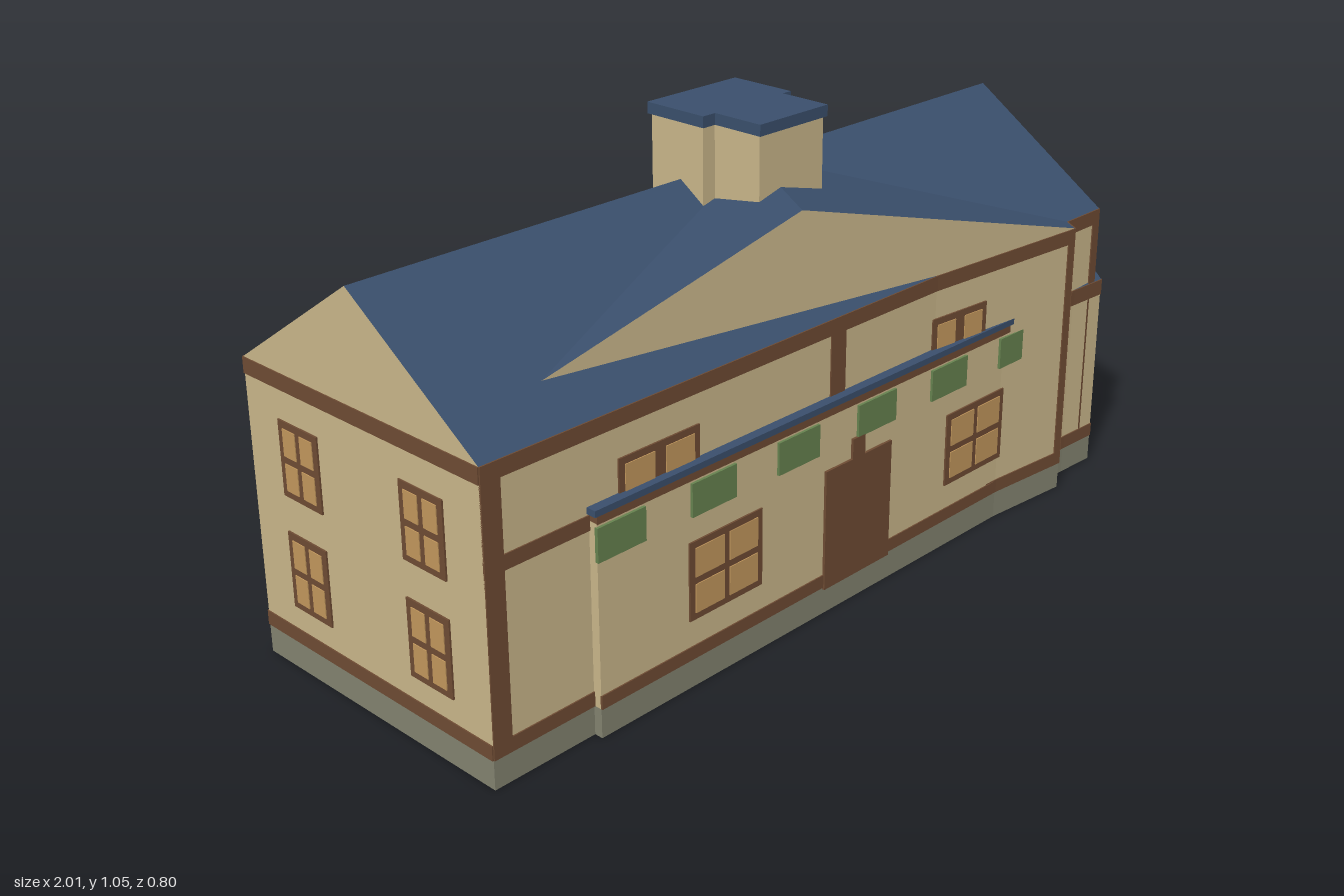
import * as THREE from 'three';

const mat = (name, color) => new THREE.MeshStandardMaterial({ name, color });

export function createModel() {
  const model = new THREE.Group();
  model.name = 'house';
  const plaster = mat('plaster', 0xc9b68a);
  const timber = mat('timber', 0x6e4b33);
  const slate = mat('slate', 0x3a4f6c);
  const stone = mat('stone', 0x82826f);
  const glass = mat('window glow', 0xc2975c);
  const green = mat('awning green', 0x66824f);

  const add = (parent, name, geo, material) => {
    const mesh = new THREE.Mesh(geo, material);
    mesh.name = name;
    parent.add(mesh);
    return mesh;
  };

  // flat polygons, corners counter-clockwise from outside
  const faces = (parent, name, polys, material) => {
    const pos = [];
    for (const p of polys)
      for (let i = 1; i < p.length - 1; i++) pos.push(...p[0], ...p[i], ...p[i + 1]);
    const geo = new THREE.BufferGeometry();
    geo.setAttribute('position', new THREE.Float32BufferAttribute(pos, 3));
    geo.computeVertexNormals();
    return add(parent, name, geo, material);
  };

  const box = (parent, name, x0, x1, y0, y1, z0, z1, material) =>
    add(parent, name, new THREE.BoxGeometry(x1 - x0, y1 - y0, z1 - z0), material)
      .position.set((x0 + x1) / 2, (y0 + y1) / 2, (z0 + z1) / 2);

  // wall frame: local x runs along the wall from p to q, local z points out
  const wall = (name, p, q) => {
    const g = new THREE.Group();
    g.name = name;
    g.position.set(p[0], 0, p[1]);
    g.rotation.y = Math.atan2(p[1] - q[1], q[0] - p[0]);
    g.userData.length = Math.hypot(q[0] - p[0], q[1] - p[1]);
    model.add(g);
    return g;
  };
  const plate = (w, name, u0, u1, y0, y1, material, d = 0.003) =>
    box(w, name, u0, u1, y0, y1, -0.002, d, material);

  // timber window with four panes
  const windowAt = (w, u0, u1, y0, y1, mullion = 0.015) => {
    plate(w, 'windowFrame', u0, u1, y0, y1, timber, 0.004);
    const f = 0.015, um = (u0 + u1) / 2, ym = (y0 + y1) / 2;
    for (const [a, b] of [[u0 + f, um - mullion / 2], [um + mullion / 2, u1 - f]])
      for (const [c, d] of [[y0 + f, ym - 0.008], [ym + 0.008, y1 - f]])
        plate(w, 'windowPane', a, b, c, d, glass, 0.006);
  };
  const LOW = [0.15, 0.32], HIGH = [0.4, 0.565];

  // gabled block: c = footprint corners, gables on edges 0-1 and 2-3
  const block = (name, c, eave, ridge, bandHeight) => {
    const at = (p, y) => [p[0], y, p[1]];
    const mid = (a, b) => [(a[0] + b[0]) / 2, ridge, (a[1] + b[1]) / 2];
    const r0 = mid(c[0], c[1]), r1 = mid(c[2], c[3]);
    const ring = (y0, y1) => c.map((p, i) => {
      const q = c[(i + 1) % 4];
      return [at(p, y0), at(q, y0), at(q, y1), at(p, y1)];
    });
    faces(model, name + 'Foundation', [...ring(0, 0.065), [...c].reverse().map(p => at(p, 0))], stone);
    faces(model, name + 'Walls', [...ring(0.065, eave),
      [at(c[0], eave), at(c[1], eave), r0], [at(c[2], eave), at(c[3], eave), r1]], plaster);
    faces(model, name + 'Roof', [[at(c[1], eave), at(c[2], eave), r1, r0],
      [at(c[3], eave), at(c[0], eave), r0, r1]], slate);
    return c.map((p, i) => {
      const w = wall(name + 'Wall' + i, p, c[(i + 1) % 4]);
      plate(w, 'sillBand', 0, w.userData.length, 0.065, 0.097, timber);
      plate(w, 'eaveBand', 0, w.userData.length, eave - bandHeight, eave, timber);
      return w;
    });
  };

  // main house: right, back, left, front walls
  const [right, back, left, front] = block('main',
    [[0.91, 0.355], [0.91, -0.355], [-0.997, -0.355], [-0.997, 0.355]], 0.665, 0.905, 0.035);
  for (const y of [LOW, HIGH]) {
    windowAt(right, 0.48, 0.605, ...y);
    windowAt(right, 0.105, 0.23, ...y);
    windowAt(left, 0.105, 0.23, ...y);
    windowAt(left, 0.48, 0.605, ...y);
    windowAt(back, 0.335, 0.57, ...y, 0.06);
    windowAt(back, 1.2, 1.385, ...y);
    windowAt(back, 1.385, 1.57, ...y);
  }
  for (const [a, b] of [[0.1, 0.12], [0.87, 0.91], [0.925, 0.965], [1.65, 1.665]])
    plate(back, 'backPost', a, b, 0.09, 0.64, timber);
  for (const [a, b] of [[0, 0.045], [1.882, 1.907]])
    plate(front, 'cornerPost', a, b, 0.09, 0.64, timber);
  plate(front, 'centrePost', 0.932, 0.978, 0.49, 0.64, timber);
  plate(front, 'middleBandLeft', 0, 0.255, 0.445, 0.477, timber);
  plate(front, 'middleBandRight', 1.76, 1.907, 0.445, 0.477, timber);
  plate(right, 'middleBand', 0, 0.05, 0.445, 0.477, timber);
  plate(right, 'cornerPost', 0.7, 0.71, 0.09, 0.64, timber);
  windowAt(front, 0.327, 0.542, ...HIGH, 0.03);

  // slanted cross wing running through the house
  const [wingFront, wingRight] = block('crossWing',
    [[-0.99, 0.245], [0.75, 0.395], [1, 0.01], [-0.74, -0.18]], 0.665, 0.906, 0.035);
  windowAt(wingFront, 1.27, 1.445, ...HIGH, 0.03);
  plate(wingFront, 'wingPost', 1.725, 1.745, 0.09, 0.64, timber);
  plate(wingRight, 'wingPost', 0, 0.012, 0.09, 0.64, timber);
  for (const y of [LOW, HIGH]) windowAt(wingRight, 0.338, 0.388, ...y);

  // low gabled bay on the right end
  const [bay] = block('sideBay',
    [[0.935, 0.36], [0.935, -0.09], [0.5, -0.09], [0.5, 0.34]], 0.48, 0.69, 0.038);
  windowAt(bay, 0.06, 0.14, 0.155, 0.325);
  windowAt(bay, 0.31, 0.39, 0.155, 0.325);
  plate(bay, 'bayPost', 0.215, 0.23, 0.09, 0.45, timber);

  // slanted bay breaking through the back wall
  const [, , , backBay] = block('backBay',
    [[0.5, -0.1], [-0.48, -0.2], [-0.38, -0.4], [0.6, -0.106]].map((p, i, a) =>
      [a[2], a[3], [0.5, 0.094], [-0.48, -0.2]][(i + 1) % 4]).reverse(), 0.48, 0.69, 0.036);
  backBay.name = 'backBayInnerWall';
  const bayGable = wall('backBayGable', [0.6, -0.106], [-0.38, -0.4]);
  windowAt(bayGable, 0.84, 0.9, ...LOW);

  // shallow porch along the front
  box(model, 'porchFoundation', -0.745, 0.7, 0, 0.065, 0.3, 0.375, stone);
  box(model, 'porchWall', -0.745, 0.7, 0.065, 0.465, 0.3, 0.375, plaster);
  box(model, 'porchBeam', -0.745, 0.7, 0.463, 0.48, 0.3, 0.377, timber);
  box(model, 'porchRoof', -0.75, 0.7, 0.48, 0.494, 0.3, 0.378, slate);
  const porch = wall('porchFront', [-0.745, 0.375], [0.7, 0.375]);
  plate(porch, 'sillBand', 0, 1.445, 0.065, 0.095, timber);
  windowAt(porch, 0.24, 0.45, 0.155, 0.33);
  windowAt(porch, 1.06, 1.27, 0.155, 0.33);
  plate(porch, 'door', 0.645, 0.86, 0.06, 0.34, timber, 0.006);
  plate(porch, 'doorBracket', 0.73, 0.77, 0.34, 0.386, timber, 0.006);
  for (let i = 0; i < 6; i++)
    plate(porch, 'awningStripe', i * 0.25 - 0.003, i * 0.25 + 0.122, 0.385, 0.458, green, 0.006);

  // stepped chimney with cap
  for (const [x0, x1, z0, z1] of [[-0.14, 0.115, -0.083, 0.065], [-0.105, 0.09, 0.0, 0.19]]) {
    box(model, 'chimney', x0, x1, 0.79, 1.035, z0, z1, plaster);
    box(model, 'chimneyCap', x0 - 0.006, x1 + 0.006, 1.03, 1.055, z0 - 0.007, z1 + 0.007, slate);
  }
  return model;
}
